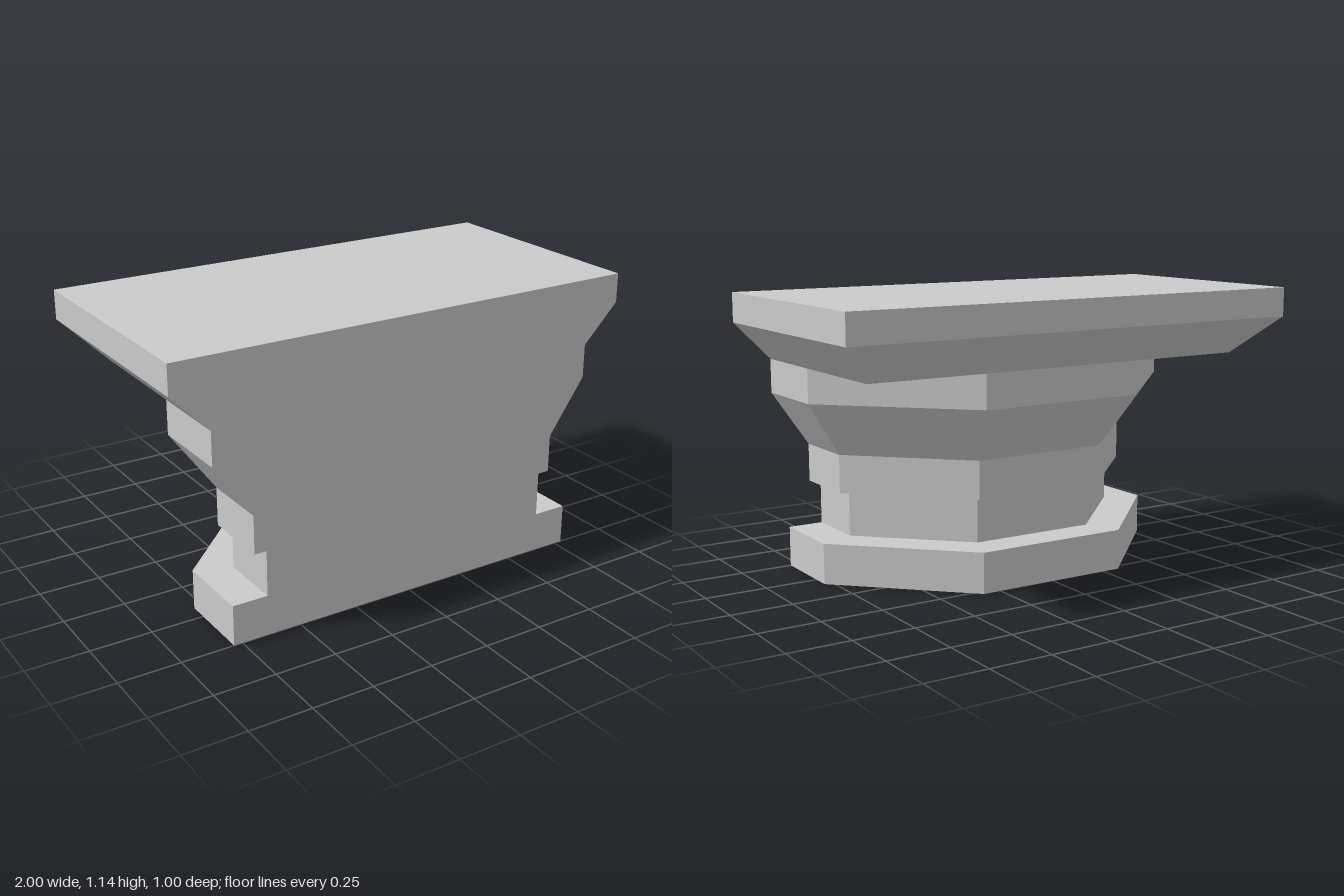
import * as THREE from 'three';

const FRONT = 0.5; // z of the flat wall face
const TAN = Math.tan(Math.PI / 8);

// Plan outlines, counter-clockwise from above; w is the half width and the depth
const halfOctagon = (w) => [
  [w, FRONT], [w, FRONT - w * TAN], [w * TAN, FRONT - w],
  [-w * TAN, FRONT - w], [-w, FRONT - w * TAN], [-w, FRONT],
];
const rectangle = (w) => [[w, FRONT], [w, FRONT - w], [-w, FRONT - w], [-w, FRONT]];

// Closed solid through a stack of [half width, height] sections
function loft(outline, profile) {
  const rings = profile.map(([w, y]) => outline(w).map(([x, z]) => [x, y, z]));
  const n = rings[0].length;
  const positions = [];
  const tri = (a, b, c) => positions.push(...a, ...b, ...c);
  for (let k = 0; k < rings.length - 1; k++) {
    const lo = rings[k], hi = rings[k + 1];
    for (let i = 0; i < n; i++) {
      const j = (i + 1) % n;
      tri(lo[i], lo[j], hi[j]);
      tri(lo[i], hi[j], hi[i]);
    }
  }
  const bottom = rings[0], top = rings[rings.length - 1];
  for (let i = 1; i < n - 1; i++) {
    tri(bottom[0], bottom[i + 1], bottom[i]);
    tri(top[0], top[i], top[i + 1]);
  }
  const geometry = new THREE.BufferGeometry();
  geometry.setAttribute('position', new THREE.Float32BufferAttribute(positions, 3));
  geometry.computeVertexNormals();
  return geometry;
}

export function createModel() {
  const group = new THREE.Group();
  group.name = 'halfOctagonCapital';
  const material = new THREE.MeshStandardMaterial({ color: 0xcccccc, flatShading: true });
  const add = (name, outline, profile) => {
    const mesh = new THREE.Mesh(loft(outline, profile), material);
    mesh.name = name;
    group.add(mesh);
  };

  // Octagonal foot, recessed neck and flared bell
  add('baseRing', halfOctagon, [[0.785, 0], [0.785, 0.165]]);
  add('neck', halfOctagon, [[0.64, 0.165], [0.64, 0.35]]);
  add('bell', halfOctagon, [[0.69, 0.35], [0.69, 0.506], [0.847, 0.732], [0.847, 0.87]]);
  // Rectangular slab with a chamfered underside
  add('topSlab', rectangle, [[0.847, 0.87], [1, 1.025], [1, 1.145]]);
  return group;
}
